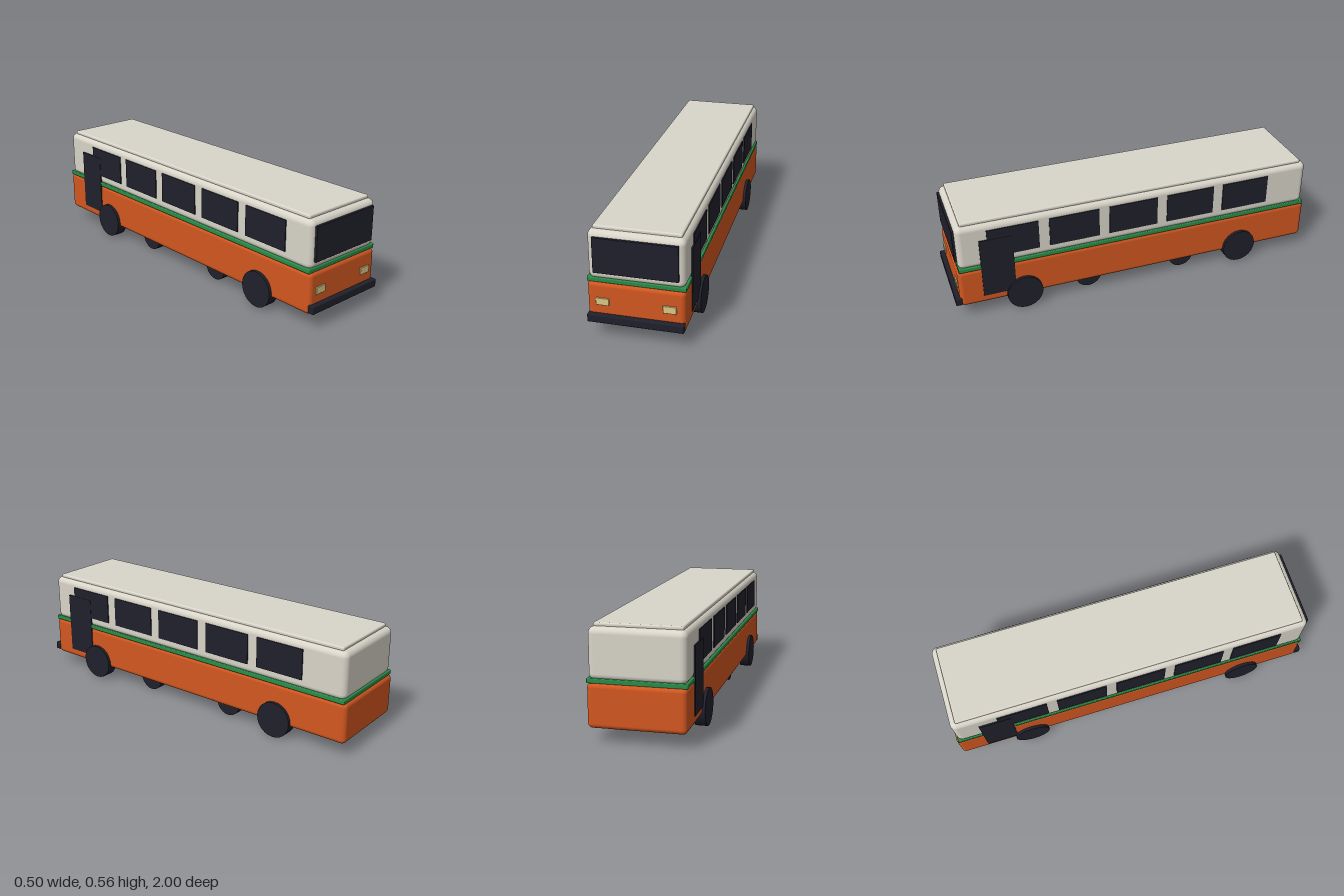
import * as THREE from 'three';
import { RoundedBoxGeometry } from 'three/addons/geometries/RoundedBoxGeometry.js';

export function createModel() {
  const bus = new THREE.Group();
  bus.name = 'bus';

  const material = (name, color) => {
    const m = new THREE.MeshStandardMaterial({ color });
    m.name = name;
    return m;
  };
  const orange = material('orange paint', 0xd35720);
  const cream = material('cream paint', 0xd9d5c9);
  const green = material('green trim', 0x2a8c48);
  const dark = material('dark glass and rubber', 0x20202c);
  const lamp = material('lamp yellow', 0xdcc685);

  const add = (name, geometry, mat) => {
    const mesh = new THREE.Mesh(geometry, mat);
    mesh.name = name;
    bus.add(mesh);
    return mesh;
  };

  // Box given by its limits on each axis; a radius rounds the edges
  const box = (name, mat, [x0, x1], [y0, y1], [z0, z1], radius = 0) => {
    const size = [x1 - x0, y1 - y0, z1 - z0];
    const geometry = radius
      ? new RoundedBoxGeometry(...size, 4, radius)
      : new THREE.BoxGeometry(...size);
    const mesh = add(name, geometry, mat);
    mesh.position.set((x0 + x1) / 2, (y0 + y1) / 2, (z0 + z1) / 2);
    return mesh;
  };

  // Body shells, waist trim and roof
  box('lowerBody', orange, [-0.236, 0.236], [0.073, 0.29], [-1, 0.975], 0.024);
  box('waistTrim', green, [-0.238, 0.238], [0.285, 0.309], [-0.99, 0.967], 0.005);
  box('upperBody', cream, [-0.233, 0.233], [0.297, 0.547], [-0.987, 0.966], 0.032);
  box('roofPanel', cream, [-0.212, 0.212], [0.542, 0.563], [-0.957, 0.936], 0.008);

  // Front fittings
  box('windshield', dark, [-0.204, 0.204], [0.338, 0.519], [0.96, 0.978], 0.003);
  box('bumper', dark, [-0.234, 0.234], [0.085, 0.127], [0.965, 1], 0.006);

  for (const side of [-1, 1]) {
    const label = side > 0 ? 'left' : 'right';
    const across = (a, b) => (side > 0 ? [a, b] : [-b, -a]);

    box(`${label}Headlight`, lamp, across(0.129, 0.194), [0.172, 0.21], [0.965, 0.982], 0.003);

    // Side windows
    for (let i = 0; i < 5; i++) {
      const z = 0.677 - i * 0.3235;
      box(`${label}Window${i + 1}`, dark, across(0.23, 0.2385), [0.35, 0.51], [z - 0.134, z + 0.134]);
    }

    // One door forward on the left, one rearward on the right
    const doorZ = side * 0.767;
    box(`${label}Door`, dark, across(0.231, 0.2402), [0.12, 0.457], [doorZ - 0.086, doorZ + 0.086]);

    // Large outer wheels and small inner wheels
    const wheel = (name, radius, x0, x1, z) => {
      const geometry = new THREE.CylinderGeometry(radius, radius, x1 - x0, 24);
      geometry.rotateZ(Math.PI / 2);
      add(name, geometry, dark).position.set((side * (x0 + x1)) / 2, radius, z);
    };
    wheel(`${label}FrontWheel`, 0.095, 0.192, 0.252, 0.637);
    wheel(`${label}RearWheel`, 0.095, 0.192, 0.252, -0.6);
    wheel(`${label}InnerFrontWheel`, 0.071, 0.137, 0.187, 0.27);
    wheel(`${label}InnerRearWheel`, 0.071, 0.137, 0.187, -0.272);
  }

  return bus;
}
